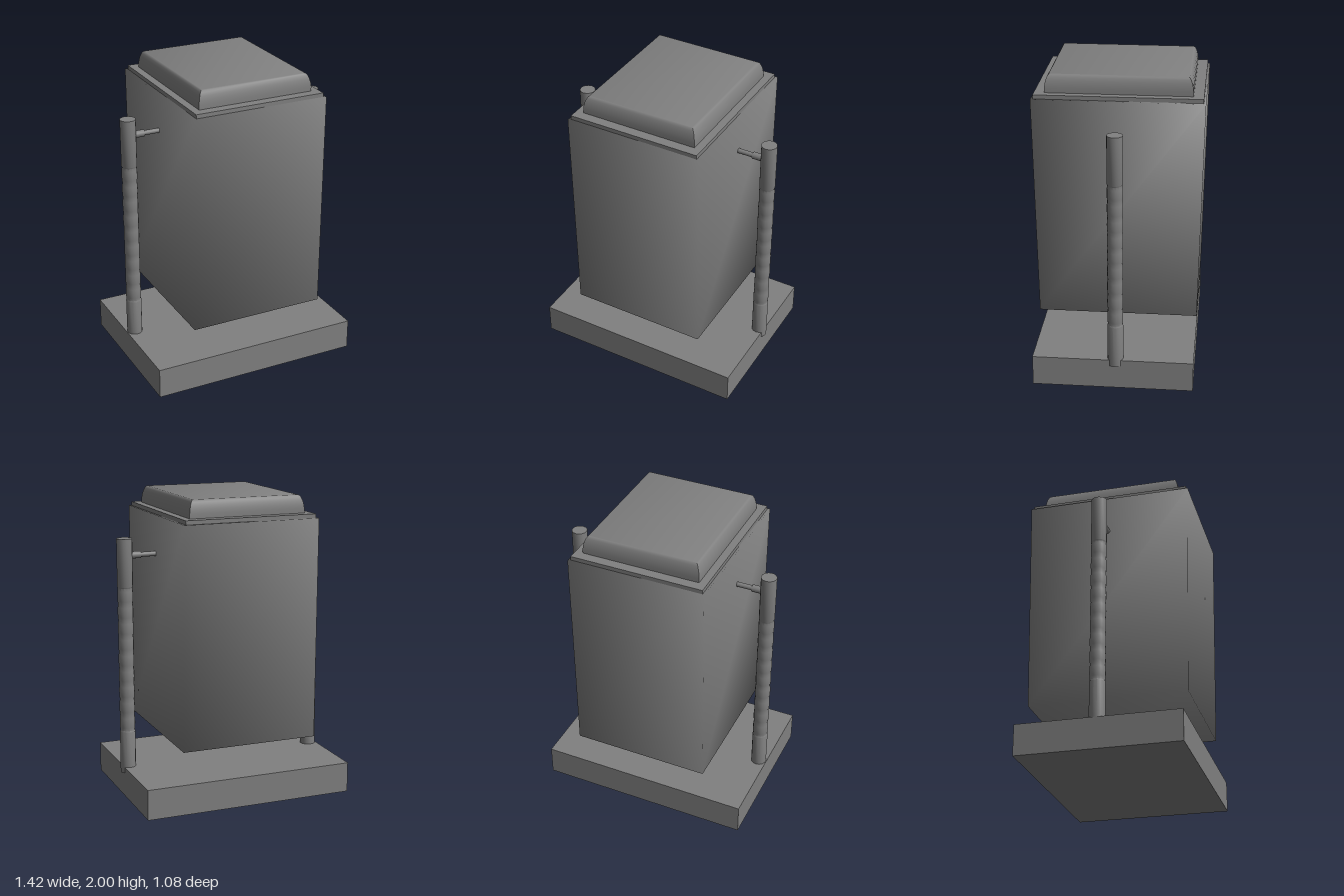
import * as THREE from 'three';
import { mergeVertices, toCreasedNormals } from 'three/addons/utils/BufferGeometryUtils.js';

// Closed solid stacked from rectangular rings [halfX, halfZ, y], bottom to top
function rectLoft(rings) {
  const pos = [], idx = [];
  for (const [x, z, y] of rings) pos.push(-x, y, z, x, y, z, x, y, -z, -x, y, -z);
  for (let r = 0; r < rings.length - 1; r++) {
    for (let i = 0; i < 4; i++) {
      const a = r * 4 + i, b = r * 4 + (i + 1) % 4;
      idx.push(a, b, b + 4, a, b + 4, a + 4);
    }
  }
  const t = (rings.length - 1) * 4;
  idx.push(0, 2, 1, 0, 3, 2, t, t + 1, t + 2, t, t + 2, t + 3);
  const g = new THREE.BufferGeometry();
  g.setAttribute('position', new THREE.Float32BufferAttribute(pos, 3));
  g.setIndex(idx);
  return g;
}

// Round post: plain ends with nine shallow beads between them
function postGeometry() {
  const r = 0.051, groove = 0.047, y0 = 0.45, y1 = 1.4, beads = 9;
  const pts = [[0, 0.16], [r, 0.16], [r, y0 - 0.008]];
  const step = (y1 - y0) / beads;
  for (let i = 0; i < beads; i++) {
    const y = y0 + i * step;
    pts.push([groove, y], [r - 0.001, y + step * 0.2], [r, y + step * 0.5], [r - 0.001, y + step * 0.8]);
  }
  pts.push([groove, y1], [r, y1 + 0.008], [r, 1.72], [0, 1.72]);
  const lathe = new THREE.LatheGeometry(pts.map(([x, y]) => new THREE.Vector2(x, y)), 14);
  return toCreasedNormals(lathe, 0.6);
}

export function createModel() {
  const model = new THREE.Group();
  model.name = 'hangingLitterBin';
  const grey = new THREE.MeshStandardMaterial({ color: 0x808080 });
  grey.name = 'grey';

  const add = (name, geometry, x = 0, y = 0, z = 0) => {
    const mesh = new THREE.Mesh(geometry, grey);
    mesh.name = name;
    mesh.position.set(x, y, z);
    model.add(mesh);
    return mesh;
  };

  // Ground slab, slightly off centre
  add('base', new THREE.BoxGeometry(1.41, 0.2, 1.04), -0.01, 0.1, 0.013);

  // Container, shaded smoothly across its corners
  const body = mergeVertices(rectLoft([[0.455, 0.513, 0.42], [0.451, 0.539, 1.86]]));
  body.computeVertexNormals();
  add('container', body);

  // Rim and round-shouldered lid
  add('rim', toCreasedNormals(rectLoft([[0.436, 0.525, 1.855], [0.436, 0.525, 1.886]]), 0.6));
  const lid = [[0, 1.88], [0, 1.915], [0.003, 1.94], [0.009, 1.965], [0.017, 1.985], [0.024, 1.996], [0.032, 2]];
  add('lid', toCreasedNormals(rectLoft(lid.map(([inset, y]) => [0.386 - inset, 0.46 - inset, y])), 0.6));

  // Posts and the pivots that carry the container
  const post = postGeometry();
  for (const [side, s] of [['left', 1], ['right', -1]]) {
    const z = -0.003;
    add(side + 'Post', post, s * 0.66, 0, z);
    const pin = add(side + 'PivotPin', new THREE.CylinderGeometry(0.016, 0.016, 0.14, 12), s * 0.5, 1.61, z);
    const sleeve = add(side + 'PivotSleeve', new THREE.CylinderGeometry(0.023, 0.023, 0.08, 12), s * 0.593, 1.61, z);
    pin.rotation.z = sleeve.rotation.z = Math.PI / 2;
  }
  return model;
}
